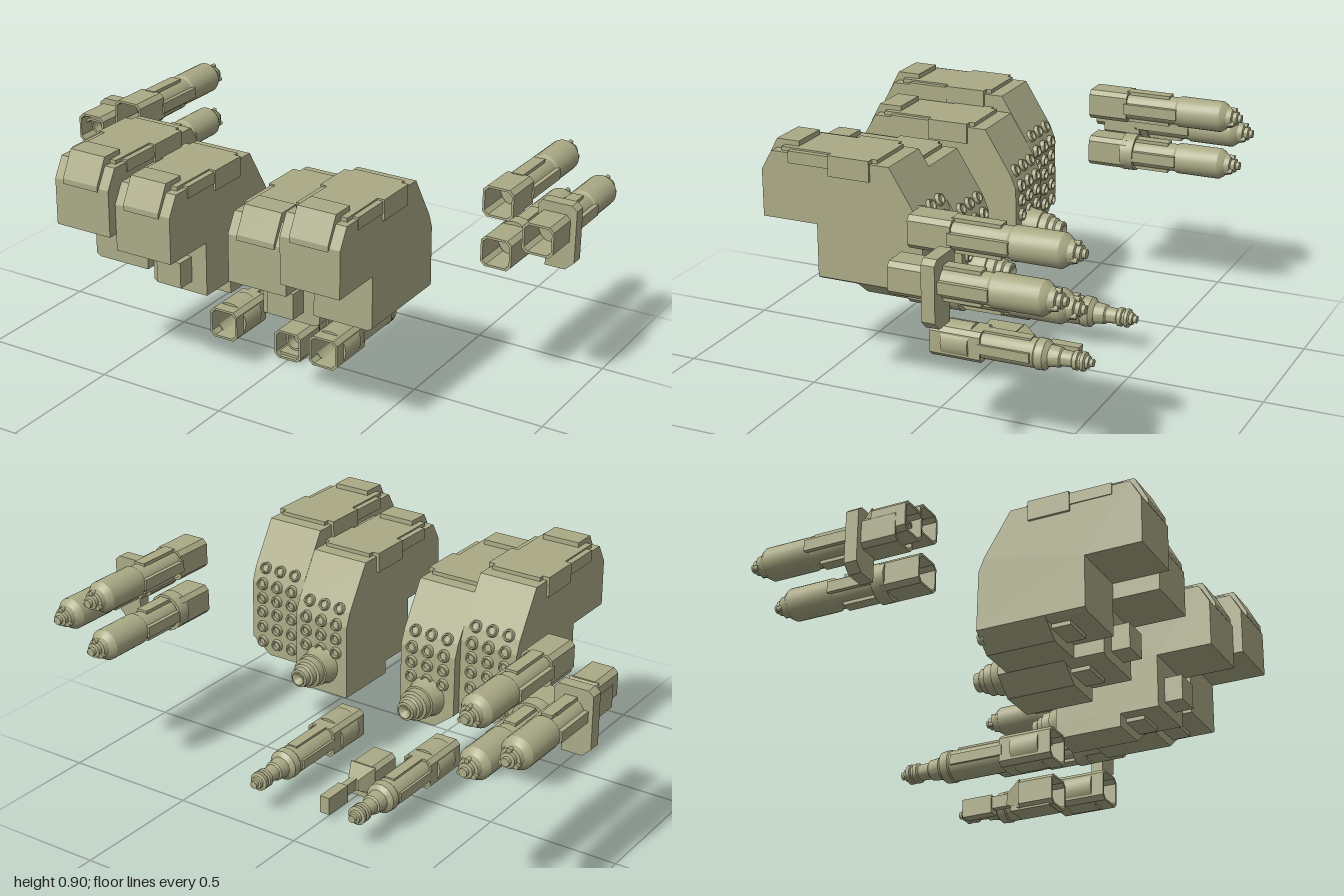
import * as THREE from 'three';
import { toCreasedNormals } from 'three/addons/utils/BufferGeometryUtils.js';

const olive = new THREE.MeshStandardMaterial({ color: 0xaaaa86 });
olive.name = 'olive';

function add(parent, name, geo, x = 0, y = 0, z = 0) {
  const m = new THREE.Mesh(geo, olive);
  m.name = name;
  m.position.set(x, y, z);
  parent.add(m);
  return m;
}

// Box given by its limits
function box(parent, name, x0, x1, y0, y1, z0, z1) {
  return add(parent, name, new THREE.BoxGeometry(x1 - x0, y1 - y0, z1 - z0),
    (x0 + x1) / 2, (y0 + y1) / 2, (z0 + z1) / 2);
}

// Turned geometry along z; each point is [radius, z], running from front to back
function turnedGeometry(pts, sides = 24) {
  const g = new THREE.LatheGeometry(pts.map(([r, z]) => new THREE.Vector2(r, -z)), sides);
  return toCreasedNormals(g.rotateX(-Math.PI / 2), 0.5);
}
const turned = (parent, name, pts, x, y) => add(parent, name, turnedGeometry(pts), x, y);

const poly = pts => new THREE.Shape(pts.map(([a, b]) => new THREE.Vector2(a, b)));

// Side profile [z, y] extruded across x
function sideExtrude(parent, name, pts, x0, x1) {
  const g = new THREE.ExtrudeGeometry(poly(pts.map(([z, y]) => [-z, y])), { depth: x1 - x0, bevelEnabled: false });
  g.rotateY(Math.PI / 2);
  return add(parent, name, g, x0);
}

// Front outline [x, y] extruded along z
function frontExtrude(parent, name, shape, z0, z1, x = 0, y = 0) {
  return add(parent, name, new THREE.ExtrudeGeometry(shape, { depth: z1 - z0, bevelEnabled: false }), x, y, z0);
}

const chamfered = (w, h, c) => [[-w + c, -h], [w - c, -h], [w, -h + c], [w, h - c],
  [w - c, h], [-w + c, h], [-w, h - c], [-w, -h + c]];

// Hollow square sleeve at the front of a tube
function sleeve(parent, name, w, h, x, y, z0, z1) {
  const s = poly(chamfered(w, h, 0.016));
  s.holes.push(poly(chamfered(w - 0.008, h - 0.008, 0.014)));
  frontExtrude(parent, name, s, z0, z1, x, y);
}

// Round collar wrapped about a sleeve
function collar(parent, x, y, r, z0, z1) {
  turned(parent, 'collar', [[0.058, z0], [0.058, z1], [r, z1], [r, z0], [0.058, z0]], x, y);
}

// Rear thruster port: a raised ring with a sunken floor
const port = turnedGeometry([[0.026, 0.014], [0.02, -0.012], [0.015, -0.012], [0.013, -0.002], [0, -0.002]], 14);

// Armoured pod, centred on local x = 0; side = +1 puts the lower chamfer on +x
function pod(side, big) {
  const g = new THREE.Group();
  const w = 0.112;
  sideExtrude(g, 'podBody', [[0.635, 0.63], [0.635, 0.8], [0.595, 0.87], [0.15, 0.87], [0.05, 0.71],
    [0.03, 0.66], [0.025, 0.44], [0.427, 0.44], [0.427, 0.63]], -w, w);
  frontExtrude(g, 'podKeel', poly([[-w * side, 0.44], [-w * side, 0.38], [0.035 * side, 0.38], [w * side, 0.44]]), 0.025, 0.28);
  frontExtrude(g, 'frontKeel', poly([[-w * side, 0.44], [-w * side, 0.43], [0.095 * side, 0.43], [w * side, 0.44]]), 0.28, 0.427);
  box(g, 'keelStep', -0.06, 0.06, 0.415, 0.45, 0.28, 0.35);
  // Roof plates
  box(g, 'roofPlate', -0.095, 0.095, 0.86, 0.884, 0.2, 0.565);
  box(g, 'shoulderPanel', -0.121, 0.121, 0.81, 0.884, 0.22, 0.375);
  box(g, 'sideRail', -0.116, 0.116, 0.835, 0.878, 0.375, 0.53);
  sideExtrude(g, 'roofHump', [[0.643, 0.79], [0.643, 0.81], [0.595, 0.902], [0.51, 0.902], [0.51, 0.86], [0.59, 0.86]], -0.072, 0.072);
  // Thruster ports on the rear; the inner pod leaves room for its nozzle
  const rows = [[0.715, 0.053, 0.5], [0.66, 0.03, 0.25], [0.605, 0.029, 0], [0.55, 0.028, 0], [0.49, 0.027, 0], [0.43, 0.025, 0]];
  for (const [y, z, tilt] of big ? rows.slice(0, 4) : rows) {
    for (let i = -1; i <= 1; i++) add(g, 'thrusterPort', port, i * 0.066, y, z).rotation.x = tilt;
  }
  if (big) {
    turned(g, 'mainNozzle', [[0.075, 0.03], [0.066, 0.01], [0.062, -0.03], [0.056, -0.032], [0.056, -0.062],
      [0.046, -0.066], [0.044, -0.085], [0.036, -0.09], [0.034, -0.112], [0.026, -0.114], [0.024, -0.117], [0, -0.1]], 0, 0.485);
    box(g, 'intakeBlock', -0.05, 0.05, 0.47, 0.565, 0.42, 0.495);
  }
  return g;
}

// Long launch tube with a square mouth and stepped cap, plus rails along its sides
function launcher(parent, x, y, round, z0 = -0.05) {
  const g = new THREE.Group();
  g.name = 'launcher';
  parent.add(g);
  const r = 0.058;
  sleeve(g, 'launcherSleeve', 0.058, 0.056, x, y, -0.2, z0);
  if (round) collar(g, x, y, 0.07, -0.23, -0.18);
  turned(g, 'launcherTube', [[0, -0.17], [r - 0.006, -0.17], [r - 0.006, -0.39], [r, -0.4], [r, -0.565],
    [r - 0.01, -0.58], [0.04, -0.588], [0.036, -0.607], [0.026, -0.61], [0.026, -0.625], [0.016, -0.628],
    [0.015, -0.64], [0, -0.64]], x, y);
  for (const s of [-1, 1]) {
    box(g, 'tubeRail', x + s * 0.056 - 0.008, x + s * 0.056 + 0.008, y - 0.02, y + 0.02, -0.4, -0.19);
    box(g, 'tubeSpine', x - 0.022, x + 0.022, y + s * 0.051 - 0.008, y + s * 0.051 + 0.008, -0.36, -0.19);
  }
  for (let i = 0; i < 3; i++) {
    const a = Math.PI / 2 + i * Math.PI * 2 / 3;
    const c = new THREE.CylinderGeometry(0.009, 0.009, 0.02, 10).rotateX(Math.PI / 2);
    add(g, 'capBolt', c, x + Math.cos(a) * 0.032, y + Math.sin(a) * 0.032, -0.61);
  }
}

// Hollow block with a tapered back and a slim rear bar
function hookBlock(parent, x, y, z) {
  const g = new THREE.Group();
  g.name = 'hookBlock';
  g.position.set(x, y, z);
  parent.add(g);
  sleeve(g, 'hookSleeve', 0.056, 0.056, 0, 0, -0.13, 0);
  const taper = new THREE.CylinderGeometry(0.03, 0.076, 0.065, 4).toNonIndexed();
  taper.rotateY(Math.PI / 4).rotateX(-Math.PI / 2).computeVertexNormals();
  add(g, 'hookTaper', taper, 0, 0, -0.16);
  turned(g, 'hookBore', [[0, -0.09], [0.03, -0.09], [0.03, -0.05], [0.038, -0.05], [0.038, -0.128]], 0, 0);
  box(g, 'hookNeck', -0.013, 0.013, -0.02, 0.025, -0.26, -0.18);
  box(g, 'hookBar', -0.02, 0.02, -0.037, 0.03, -0.37, -0.255);
}

// Slim gun below the pods
function lowerGun(parent, x) {
  const g = new THREE.Group();
  g.name = 'lowerGun';
  parent.add(g);
  const y = 0.132;
  sleeve(g, 'gunSleeve', 0.058, 0.058, x, y, -0.04, 0.155);
  collar(g, x, y, 0.068, 0.005, 0.11);
  turned(g, 'gunBarrel', [[0, 0.0], [0.05, 0.0], [0.054, -0.045],
    [0.054, -0.24], [0.058, -0.245], [0.056, -0.275], [0.04, -0.29], [0.036, -0.33], [0.03, -0.335], [0.028, -0.375],
    [0.035, -0.38], [0.035, -0.395], [0.028, -0.398], [0.028, -0.405], [0.035, -0.408], [0.035, -0.42],
    [0.024, -0.424], [0.022, -0.435], [0.014, -0.437], [0.014, -0.45], [0, -0.45]], x, y);
  for (const s of [-1, 1]) {
    box(g, 'gunRail', x + s * 0.052 - 0.008, x + s * 0.052 + 0.008, y - 0.018, y + 0.018, -0.23, -0.03);
  }
  box(g, 'gunSpine', x - 0.02, x + 0.02, 0.172, 0.19, -0.22, -0.03);
}

export function createModel() {
  const root = new THREE.Group();
  for (const s of [-1, 1]) {
    // Paired pods, the inner one lower and further back
    const outer = pod(s, false);
    outer.name = 'outerPod';
    outer.position.set(s * 0.453, 0, 0);
    const inner = pod(s, true);
    inner.name = 'innerPod';
    inner.position.set(s * 0.229, -0.06, -0.036);
    root.add(outer, inner);
    lowerGun(root, s * 0.212);

    // Launcher cluster at the side
    launcher(root, s * 0.77, 0.762, false);
    launcher(root, s * 0.77, 0.577, true);
    launcher(root, s * 0.92, 0.66, false, -0.055);
    const plate = [[0.857, 0.735], [0.87, 0.752], [0.98, 0.752], [1, 0.735], [1, 0.545], [0.968, 0.515],
      [0.892, 0.515], [0.892, 0.6], [0.857, 0.645]].map(([x, y]) => [x * s, y]);
    frontExtrude(root, 'shieldPlate', poly(plate), -0.23, -0.183);
  }
  // Blocks with rear bars: one on the right cluster, one in the middle
  hookBlock(root, -0.92, 0.69, -0.02);
  hookBlock(root, 0, 0.058, 0.055);
  box(root, 'middleFoot', -0.045, 0.045, 0, 0.02, -0.11, 0.04);
  return root;
}
